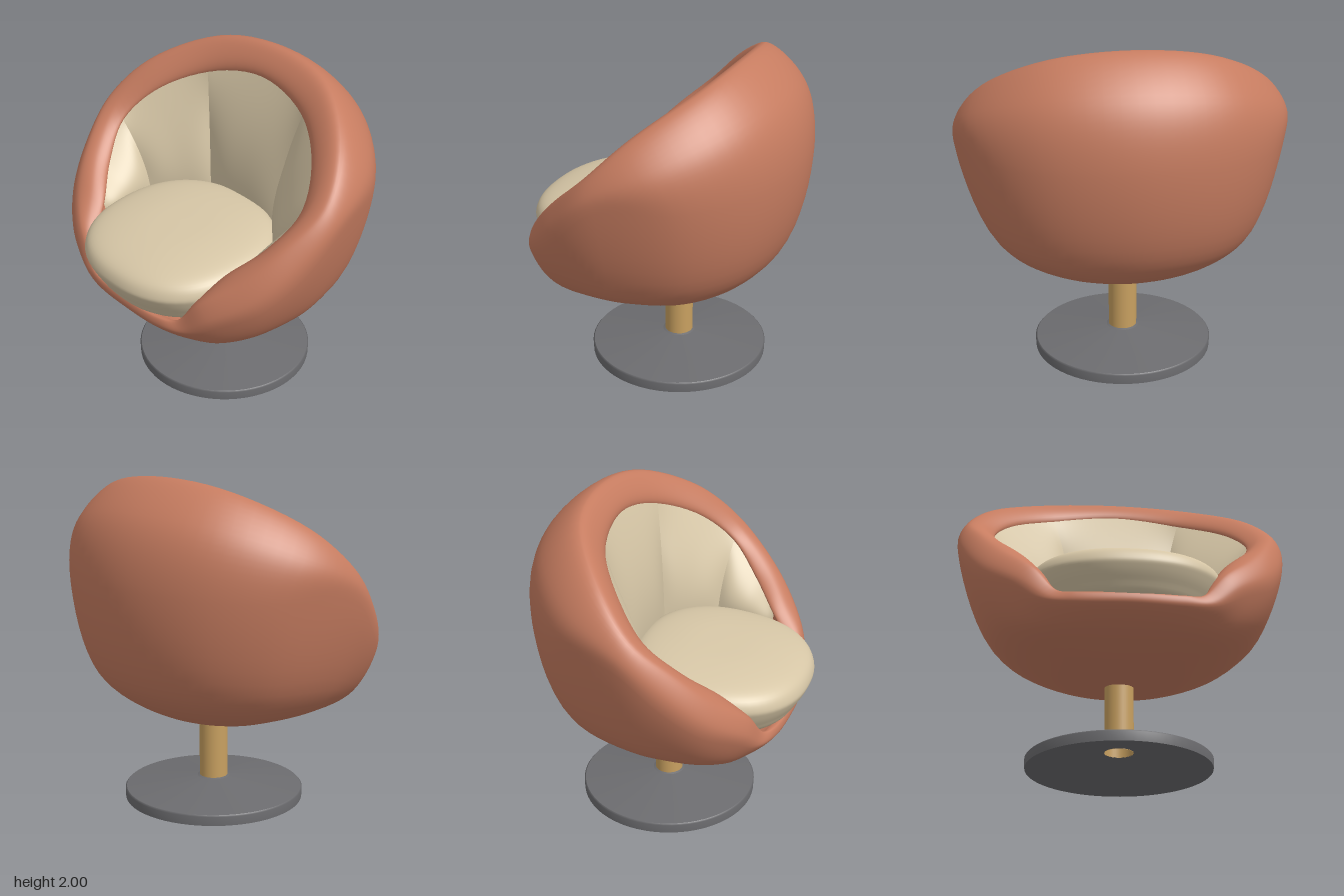
import * as THREE from 'three';

const V = (x, y, z) => new THREE.Vector3(x, y, z);
const mat = (name, color) => {
  const m = new THREE.MeshStandardMaterial({ color });
  m.name = name;
  return m;
};

// Closed ring from half-ring points running from the back round the left side to the front
const HALF = 9;
function ring(half) {
  const pts = half.map((p) => V(...p));
  for (let i = HALF - 1; i > 0; i--) pts.push(V(-half[i][0], half[i][1], half[i][2]));
  return new THREE.CatmullRomCurve3(pts, true);
}
const ringAt = (curve, i) => {
  const n = HALF * 2;
  return curve.getPoint((((i % n) + n) % n) / n);
};

// Smooth surface from rows of points; the last point of a wrapped row joins the first
function surface(rows, wrap, flip) {
  const n = rows[0].length;
  const pos = rows.flat().flatMap((p) => [p.x, p.y, p.z]);
  const idx = [];
  for (let j = 0; j < rows.length - 1; j++) {
    for (let i = 0; i < (wrap ? n : n - 1); i++) {
      const k = (i + 1) % n;
      const a = j * n + i, b = j * n + k, c = a + n, d = b + n;
      if (flip) idx.push(a, b, c, b, d, c);
      else idx.push(a, c, b, b, c, d);
    }
  }
  const g = new THREE.BufferGeometry();
  g.setAttribute('position', new THREE.Float32BufferAttribute(pos, 3));
  g.setIndex(idx);
  g.computeVertexNormals();
  return g;
}

// Guide rings of the shell
const lower = ring([
  [0, 0.8, -0.7], [0.42, 0.79, -0.6], [0.68, 0.77, -0.36], [0.79, 0.75, 0], [0.77, 0.72, 0.2],
  [0.7, 0.68, 0.38], [0.57, 0.64, 0.52], [0.43, 0.62, 0.58], [0.28, 0.61, 0.61], [0, 0.61, 0.62]]);
const belly = ring([
  [0, 1.4, -0.835], [0.5, 1.38, -0.72], [0.85, 1.37, -0.42], [0.995, 1.36, 0], [0.955, 1.14, 0.25],
  [0.84, 0.95, 0.45], [0.66, 0.83, 0.6], [0.49, 0.73, 0.67], [0.3, 0.7, 0.72], [0, 0.7, 0.74]]);
const crest = ring([
  [0, 1.998, -0.48], [0.46, 1.94, -0.41], [0.82, 1.74, -0.15], [0.94, 1.52, 0.08], [0.86, 1.31, 0.32],
  [0.74, 1.12, 0.5], [0.555, 0.95, 0.635], [0.41, 0.79, 0.68], [0.3, 0.765, 0.72], [0, 0.765, 0.74]]);
const inner = ring([
  [0, 1.84, -0.35], [0.4, 1.76, -0.28], [0.68, 1.6, -0.08], [0.78, 1.42, 0.1], [0.7, 1.22, 0.28],
  [0.55, 1.05, 0.45], [0.47, 0.9, 0.58], [0.4, 0.78, 0.66], [0.3, 0.76, 0.68], [0, 0.76, 0.7]]);

// Bowl: each meridian runs from under the seat, over the rim and down to the inside floor
function shellGeometry() {
  const across = 108, up = 80, mid = V(0, 1.1, 0);
  const rows = Array.from({ length: up + 1 }, () => []);
  for (let i = 0; i < across; i++) {
    const [l, o, r, e] = [lower, belly, crest, inner].map((c) => c.getPoint(i / across));
    const base = V(l.x * 0.55, 0.5 + (l.y - 0.5) * 0.18, l.z * 0.55);
    const shoulder = o.clone().lerp(r, 0.5);
    shoulder.addScaledVector(shoulder.clone().sub(mid).normalize(), o.distanceTo(r) * 0.17);
    const roll = r.clone().lerp(e, 0.5);
    roll.addScaledVector(roll.clone().sub(o.clone().lerp(e, 0.5)).normalize(), r.distanceTo(e) * 0.17);
    const wall = e.clone().lerp(o, 0.4);
    const floor = V(l.x * 0.92, l.y + 0.05, l.z * 0.92);
    const meridian = new THREE.CatmullRomCurve3(
      [V(0, 0.5, 0), base, l, o, shoulder, r, roll, e, wall, floor, V(0, 0.66, 0)]);
    for (let j = 0; j <= up; j++) rows[j].push(meridian.getPoint(j / up));
  }
  return surface(rows, true, false);
}

// Padded lining panel between two seams
const seamFoot = { 1: [0.28, -0.19], 3: [0.565, 0.07], 5: [0.55, 0.44] };
const footAt = (s) => V(Math.sign(s) * seamFoot[Math.abs(s)][0], 0.95, seamFoot[Math.abs(s)][1]);
function panelGeometry(s0, s1) {
  const nu = 20, nv = 20, rows = [];
  for (let j = 0; j <= nv; j++) {
    const v = j / nv, row = [];
    for (let i = 0; i <= nu; i++) {
      const s = i / nu;
      const foot = footAt(s0).lerp(footAt(s1), s);
      const top = ringAt(inner, s0 + (s1 - s0) * s);
      const p = foot.clone().lerp(V(top.x * 1.015, top.y, top.z), Math.pow(v, 1.8));
      p.y = foot.y + (top.y - foot.y) * v;
      const puff = 0.035 * (1 - Math.pow(2 * s - 1, 4)) * Math.sin(Math.PI * v);
      const inward = V(-p.x, 0, 0.2 - p.z).normalize();
      row.push(p.addScaledVector(inward, puff));
    }
    rows.push(row);
  }
  return surface(rows, false, true);
}

// Domed cushion: rounded-square plan, top rising towards the back
function cushionGeometry() {
  const profile = new THREE.SplineCurve([
    [0, 0.7], [0.3, 0.71], [0.435, 0.75], [0.49, 0.83], [0.525, 0.92], [0.535, 0.98],
    [0.5, 1.045], [0.4, 1.085], [0.22, 1.11], [0, 1.115]].map((p) => new THREE.Vector2(...p)));
  const rows = profile.getPoints(45).map(({ x: r, y }) => {
    const lift = 0.05 * THREE.MathUtils.smoothstep(y, 0.78, 1.0);
    return Array.from({ length: 72 }, (_, i) => {
      const a = (i / 72) * Math.PI * 2;
      const s = Math.sin(a), c = -Math.cos(a);
      const k = r / Math.pow(Math.abs(s) ** 2.3 + Math.abs(c) ** 2.3, 1 / 2.3);
      return V(s * k * 1.065, y - (lift * c * k) / 0.535, c * k);
    });
  });
  return surface(rows, true, false);
}

export function createModel() {
  const model = new THREE.Group();
  const terracotta = mat('terracotta upholstery', 0xc67c60);
  const cream = mat('cream fabric', 0xd6c6a6);
  const brass = mat('brass', 0xc8a060);
  const grey = mat('grey metal', 0x6c6c6f);
  cream.side = THREE.DoubleSide;
  brass.side = THREE.DoubleSide;

  const add = (name, geometry, material, parent = model) => {
    const m = new THREE.Mesh(geometry, material);
    m.name = name;
    parent.add(m);
    return m;
  };

  add('shell', shellGeometry(), terracotta);

  // Five lining panels
  const lining = new THREE.Group();
  lining.name = 'lining';
  model.add(lining);
  const seams = [-5, -3, -1, 1, 3, 5];
  for (let i = 0; i < 5; i++) add('liningPanel' + (i + 1), panelGeometry(seams[i], seams[i + 1]), cream, lining);

  add('seatCushion', cushionGeometry(), cream).position.z = 0.3;

  // Open pedestal tube
  const post = add('post', new THREE.CylinderGeometry(0.087, 0.087, 0.45, 40, 1, true), brass);
  post.position.set(0, 0.33, -0.055);

  // Base plate: hollow underside, upright edge and shallow cone, each with its own normals
  const base = new THREE.Group();
  base.name = 'base';
  base.position.z = -0.055;
  model.add(base);
  const band = (name, pts) =>
    add(name, new THREE.LatheGeometry(pts.map((p) => new THREE.Vector2(...p)), 64), grey, base);
  band('baseUnderside', [[0.086, 0.107], [0.548, 0]]);
  band('baseEdge', [[0.548, 0], [0.55, 0.055], [0.542, 0.064]]);
  band('baseTop', [[0.542, 0.064], [0.1, 0.122]]);
  band('baseCollar', [[0.1, 0.122], [0.085, 0.128]]);

  return model;
}
